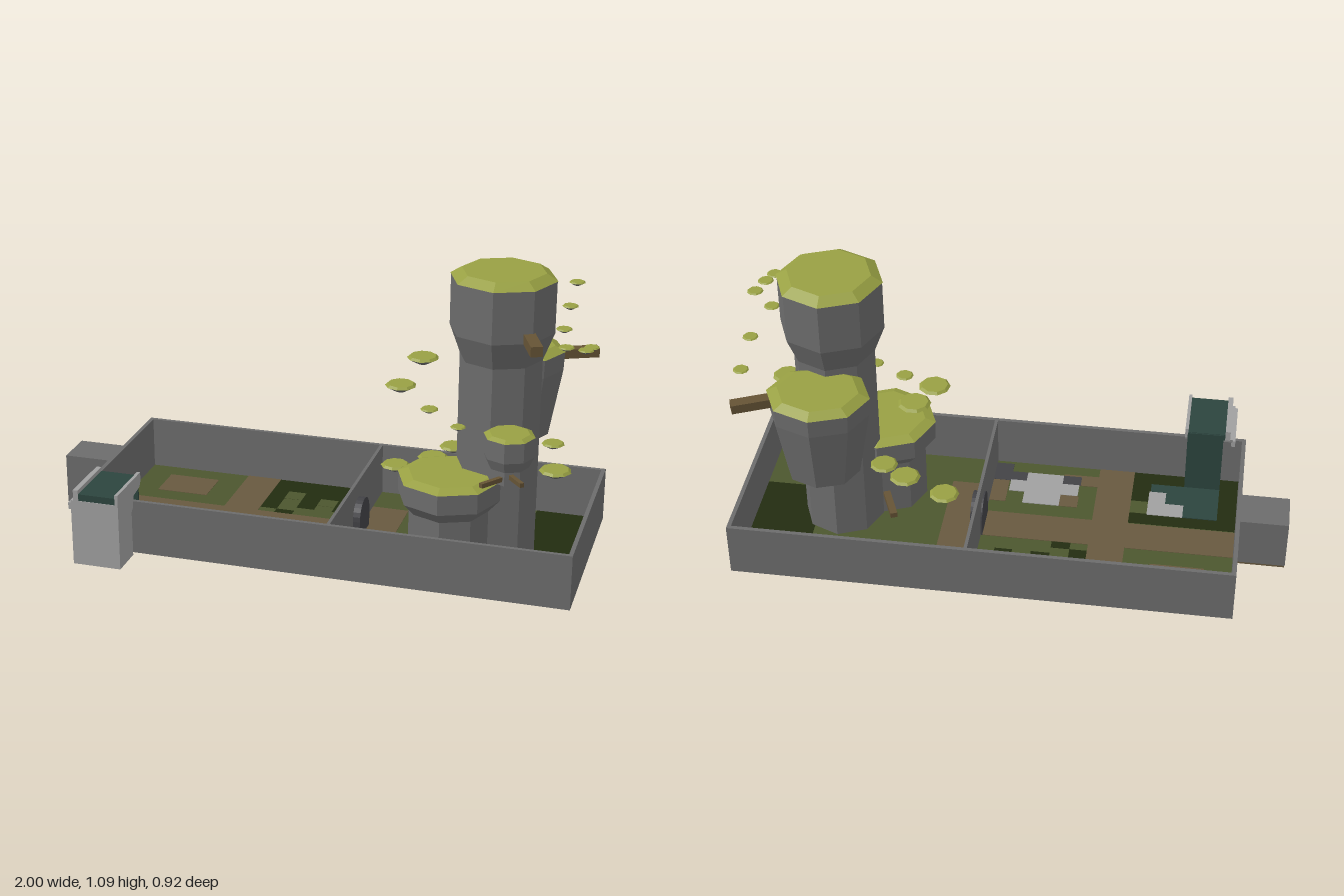
import * as THREE from 'three';

const mat = (name, color, extra = {}) => {
  const m = new THREE.MeshStandardMaterial({ color, ...extra });
  m.name = name;
  return m;
};

export function createModel() {
  const root = new THREE.Group();
  root.name = 'walledGarden';
  const stone = mat('stone', 0x6c6c6c, { flatShading: true });
  const paleStone = mat('paleStone', 0xa0a0a0, { flatShading: true });
  const darkStone = mat('darkStone', 0x424246, { flatShading: true });
  const moss = mat('moss', 0x98a043, { flatShading: true });
  const grass = mat('grass', 0x4c562e);
  const darkGrass = mat('darkGrass', 0x222c10);
  const earth = mat('earth', 0x67593f);
  const wood = mat('wood', 0x655335);
  const water = mat('water', 0x2c443e);

  const add = (name, geo, material, x = 0, y = 0, z = 0, parent = root) => {
    const m = new THREE.Mesh(geo, material);
    m.name = name;
    m.position.set(x, y, z);
    parent.add(m);
    return m;
  };
  // Box given by its two corners
  const box = (name, material, x0, x1, y0, y1, z0, z1, parent = root) =>
    add(name, new THREE.BoxGeometry(x1 - x0, y1 - y0, z1 - z0), material,
      (x0 + x1) / 2, (y0 + y1) / 2, (z0 + z1) / 2, parent);

  // Outer walls, partition and entrance block
  const walls = new THREE.Group();
  walls.name = 'walls';
  root.add(walls);
  const T = 0.015, H = 0.215;
  box('frontWall', stone, -0.825, 1, 0.01, H, 0.315 - T, 0.315, walls);
  box('backWall', stone, -0.825, 1, 0.01, H, -0.46, -0.46 + T, walls);
  box('leftWall', stone, 1 - T, 1, 0.01, H, -0.46 + T, 0.315 - T, walls);
  box('rightWall', stone, -0.825, -0.825 + T, 0.01, H, -0.46 + T, 0.315 - T, walls);
  box('partition', stone, 0.127, 0.139, 0.01, H, -0.46 + T, 0.315 - T, walls);
  box('entranceBlock', stone, -1, -0.825, 0.02, 0.212, -0.165, -0.012, walls);
  box('entranceFloor', earth, -0.998, -0.826, 0.011, 0.019, -0.163, -0.014, walls);

  // Arched doorway on the partition
  const arch = new THREE.Shape();
  arch.moveTo(-0.068, 0);
  arch.lineTo(0.068, 0);
  arch.lineTo(0.068, 0.07);
  arch.absarc(0, 0.07, 0.068, 0, Math.PI, false);
  const door = add('archedDoorway', new THREE.ExtrudeGeometry(arch,
    { depth: 0.045, bevelEnabled: false, curveSegments: 6 }), darkStone, 0.121, 0.015, -0.077);
  door.rotation.y = Math.PI / 2;

  // Ground patches; later layers are a little thicker so they show on both sides
  const ground = new THREE.Group();
  ground.name = 'ground';
  root.add(ground);
  const patch = (name, material, layer, rects) => rects.forEach(([x0, z0, x1, z1]) => {
    const h = 0.002 + layer * 0.0006;
    box(name, material, x0, x1, 0.015 - h, 0.015 + h, z0, z1, ground);
  });
  patch('grassFloor', grass, 0, [[-0.81, -0.445, 0.985, 0.3]]);
  patch('darkGrassPatch', darkGrass, 1, [
    [-0.81, 0, -0.41, 0.3], [-0.275, -0.445, 0.13, -0.28],
    [-0.275, -0.28, -0.21, -0.18], [-0.14, -0.28, -0.07, -0.21],
    [0, -0.28, 0.065, -0.21], [-0.21, -0.18, -0.14, -0.145],
    [0.75, -0.445, 0.985, 0.05],
  ]);
  patch('grassTuft', grass, 2, [
    [-0.21, -0.345, -0.14, -0.28], [-0.07, -0.31, 0, -0.25],
    [-0.475, 0.06, -0.41, 0.13],
  ]);
  patch('earthPath', earth, 3, [
    [-0.81, -0.145, 0.13, -0.005], [-0.41, -0.445, -0.275, -0.145],
    [-0.41, -0.005, -0.275, 0.3], [-0.71, -0.37, -0.51, -0.22],
    [-0.275, 0.19, -0.14, 0.25], [0.065, 0.06, 0.13, 0.19],
    [-0.21, 0.06, -0.14, 0.125], [0.14, -0.3, 0.28, 0.15],
  ]);
  patch('darkStonePatch', darkStone, 4, [
    [0, 0.185, 0.127, 0.24], [0.06, 0.24, 0.127, 0.285], [-0.21, 0.19, -0.14, 0.24],
  ]);
  patch('palePaving', paleStone, 5, [
    [-0.205, 0.125, 0.06, 0.19], [-0.14, 0.06, 0, 0.24], [-0.61, 0.055, -0.475, 0.19],
  ]);
  patch('pool', water, 6, [
    [-0.74, 0.055, -0.61, 0.235], [-0.61, 0.125, -0.54, 0.235], [-0.54, 0.19, -0.48, 0.235],
  ]);

  // Aqueduct: leg with overhanging trough, rims and falling water
  const duct = new THREE.Group();
  duct.name = 'aqueduct';
  root.add(duct);
  const prof = new THREE.Shape([[0.46, 0.01], [0.46, 0.26], [0.245, 0.26], [0.25, 0.245], [0.31, 0.235],
    [0.322, 0.19], [0.335, 0.18], [0.335, 0.01]].map(([z, y]) => new THREE.Vector2(-z, y)));
  const leg = add('troughSupport', new THREE.ExtrudeGeometry(prof,
    { depth: 0.18, bevelEnabled: false }), paleStone, -0.595, 0, 0, duct);
  leg.rotation.y = Math.PI / 2;
  leg.position.x = -0.775;
  box('sideStep', paleStone, -0.785, -0.77, 0.225, 0.25, 0.25, 0.46, duct);
  box('rightRim', paleStone, -0.765, -0.746, 0.26, 0.3, 0.24, 0.46, duct);
  box('leftRim', paleStone, -0.607, -0.595, 0.26, 0.298, 0.24, 0.46, duct);
  box('channelWater', water, -0.746, -0.607, 0.26, 0.285, 0.24, 0.458, duct);
  box('waterfall', water, -0.74, -0.605, 0, 0.283, 0.236, 0.243, duct);

  // Octagonal rock pillar: profile is [radius, height] from the bottom up
  const pillar = (name, x, z, profile, capH, sx = 1) => {
    const g = new THREE.Group();
    g.name = name;
    g.position.set(x, 0, z);
    g.scale.x = sx;
    root.add(g);
    const [r, top] = profile[profile.length - 1];
    const pts = [[0, profile[0][1]], ...profile, [0, top]].map(p => new THREE.Vector2(...p));
    add('rock', new THREE.LatheGeometry(pts, 8), stone, 0, 0, 0, g);
    add('mossCap', new THREE.CylinderGeometry(r * 0.8, r * 1.015, capH, 8), moss, 0, top + capH / 2, 0, g);
  };
  pillar('tallPillar', 0.657, -0.068, [[0.148, 0.016], [0.148, 0.77], [0.187, 0.872], [0.187, 1.06]], 0.025);
  pillar('floatingPillar', 0.667, -0.294, [[0.118, 0.4], [0.158, 0.655], [0.161, 0.725]], 0.02, 1.13);
  pillar('lowPillar', 0.515, 0.08, [[0.145, 0.016], [0.145, 0.235], [0.185, 0.28], [0.185, 0.355]], 0.015);
  pillar('smallPillar', 0.733, 0.123, [[0.072, 0.39], [0.072, 0.44], [0.09, 0.48], [0.09, 0.553]], 0.01);

  // Floating stepping stones: x, y of the top, z, radius
  [
    [0.9, 1.042, -0.148, 0.028], [0.9, 0.998, -0.015, 0.028], [0.9, 0.953, 0.1, 0.028],
    [0.9, 0.862, 0.028, 0.028], [0.95, 0.812, -0.1, 0.028], [0.95, 0.773, -0.246, 0.028],
    [0.87, 0.503, 0.024, 0.04], [0.903, 0.463, 0.16, 0.056],
    [0.34, 0.682, -0.23, 0.058], [0.3, 0.633, -0.057, 0.056], [0.43, 0.59, 0.045, 0.032],
    [0.553, 0.57, 0.133, 0.027], [0.25, 0.256, -0.2, 0.054], [0.395, 0.31, -0.188, 0.056],
    [0.47, 0.36, -0.19, 0.05],
  ].forEach(([x, y, z, r]) => {
    const g = new THREE.Group();
    g.name = 'floatingStone';
    g.position.set(x, y, z);
    root.add(g);
    add('stoneUnderside', new THREE.CylinderGeometry(r, r * 0.3, r * 0.4, 9), stone, 0, -r * 0.35, 0, g);
    add('mossTop', new THREE.CylinderGeometry(r * 0.85, r * 1.02, r * 0.15, 9), moss, 0, -r * 0.075, 0, g);
  });

  // Wooden beams: start x z, end x z, centre height, width, thickness
  [
    [0.775, 0.06, 0.825, 0.19, 0.89, 0.042, 0.036],
    [0.8, -0.315, 0.955, -0.385, 0.708, 0.042, 0.034],
    [0.72, 0.19, 0.665, 0.265, 0.414, 0.016, 0.016],
    [0.755, 0.19, 0.805, 0.25, 0.426, 0.016, 0.016],
    [0.47, -0.17, 0.42, -0.29, 0.2, 0.025, 0.02],
  ].forEach(([x0, z0, x1, z1, y, w, h]) => {
    const b = add('woodenBeam', new THREE.BoxGeometry(w, h, Math.hypot(x1 - x0, z1 - z0)), wood,
      (x0 + x1) / 2, y, (z0 + z1) / 2);
    b.rotation.y = Math.atan2(x1 - x0, z1 - z0);
  });

  return root;
}
